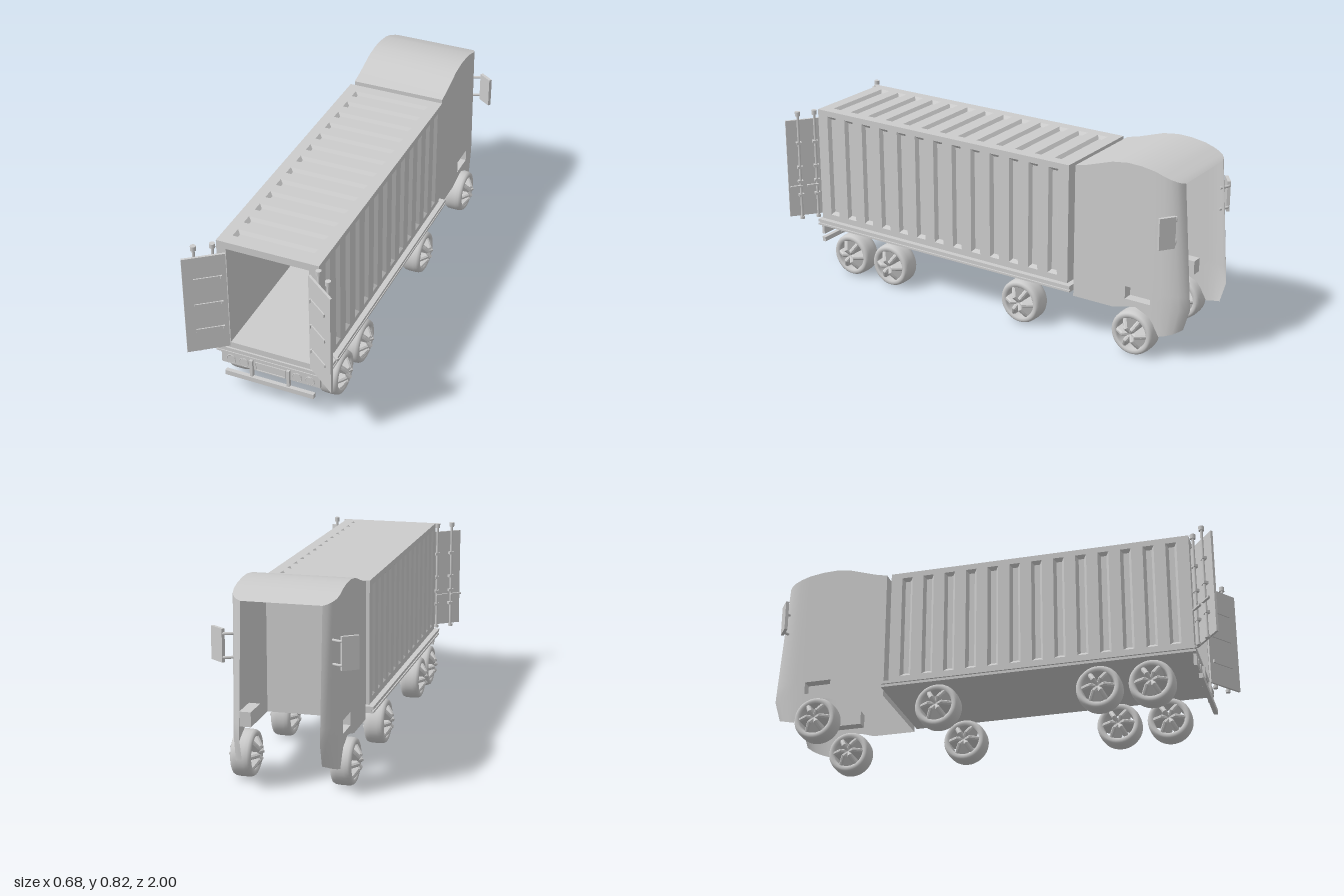
import * as THREE from 'three';

const grey = new THREE.MeshStandardMaterial({ color: 0xcccccc });
const flat = new THREE.MeshStandardMaterial({ color: 0xcccccc, flatShading: true });
const thin = new THREE.MeshStandardMaterial({ color: 0xcccccc, side: THREE.DoubleSide });

function add(parent, name, geo, mat = grey, x = 0, y = 0, z = 0) {
  const m = new THREE.Mesh(geo, mat);
  m.name = name;
  m.position.set(x, y, z);
  parent.add(m);
  return m;
}

// Box given by its limits on each axis
function block(parent, name, x0, x1, y0, y1, z0, z1) {
  return add(parent, name, new THREE.BoxGeometry(x1 - x0, y1 - y0, z1 - z0), grey,
    (x0 + x1) / 2, (y0 + y1) / 2, (z0 + z1) / 2);
}

function meshFrom(pos, idx) {
  const g = new THREE.BufferGeometry();
  g.setAttribute('position', new THREE.Float32BufferAttribute(pos, 3));
  if (idx) g.setIndex(idx);
  g.computeVertexNormals();
  return g;
}

// Panel in the xy plane facing +z, with a row of tapered grooves along x
function groovedPanel(length, height, grooveHeight, count = 13, pitch = 0.0984) {
  const pos = [];
  const quad = (a, b, c, d) => pos.push(...a, ...b, ...c, ...a, ...c, ...d);
  const ring = (x0, x1, h, z) => [[x0, -h, z], [x1, -h, z], [x1, h, z], [x0, h, z]];
  for (let i = 0; i < count; i++) {
    const c = (i - (count - 1) / 2) * pitch;
    const x0 = i === 0 ? -length / 2 : c - pitch / 2;
    const x1 = i === count - 1 ? length / 2 : c + pitch / 2;
    const rings = [
      ring(x0, x1, height / 2, 0),
      ring(c - 0.024, c + 0.024, grooveHeight / 2, 0),
      ring(c - 0.012, c + 0.012, grooveHeight / 2 - 0.014, -0.014),
    ];
    for (let r = 0; r < 2; r++)
      for (let k = 0; k < 4; k++) {
        const n = (k + 1) % 4;
        quad(rings[r][k], rings[r][n], rings[r + 1][n], rings[r + 1][k]);
      }
    quad(...rings[2]);
  }
  return meshFrom(pos);
}

function makeContainer() {
  const g = new THREE.Group();
  g.name = 'container';
  const mid = 0.215, len = 1.33;
  const side = groovedPanel(len, 0.527, 0.475);
  add(g, 'leftWall', side.clone().rotateY(Math.PI / 2), thin, 0.222, 0.4985, mid);
  add(g, 'rightWall', side.clone().rotateY(-Math.PI / 2), thin, -0.222, 0.4985, mid);
  const roof = groovedPanel(len, 0.444, 0.35).rotateY(Math.PI / 2).rotateZ(Math.PI / 2);
  add(g, 'roof', roof, thin, 0, 0.762, mid);
  block(g, 'endWall', -0.222, 0.222, 0.235, 0.762, -0.45, -0.43);
  // inner lining and door frame
  for (const s of [-1, 1]) {
    add(g, 'lining', new THREE.PlaneGeometry(1.31, 0.468).rotateY(-s * Math.PI / 2), thin, s * 0.18, 0.496, 0.225);
    block(g, 'doorPost', s * 0.201 - 0.021, s * 0.201 + 0.021, 0.235, 0.762, 0.86, 0.882);
  }
  add(g, 'ceiling', new THREE.PlaneGeometry(0.36, 1.31).rotateX(Math.PI / 2), thin, 0, 0.73, 0.225);
  block(g, 'loadFloor', -0.2, 0.2, 0.235, 0.262, -0.43, 0.882);
  block(g, 'doorHeader', -0.18, 0.18, 0.73, 0.762, 0.86, 0.882);
  return g;
}

// Open door: local x runs out from the hinge, local -z is the outer face
function makeDoor() {
  const g = new THREE.Group();
  g.name = 'door';
  g.position.set(0.18, 0, 0.889);
  g.rotation.y = -Math.atan2(0.107, 0.14);
  block(g, 'doorPanel', 0, 0.176, 0.25, 0.713, -0.008, 0.002);
  for (const y of [0.355, 0.48, 0.606]) {
    block(g, 'innerBar', 0.022, 0.134, y - 0.007, y + 0.007, 0, 0.007);
    block(g, 'hingeStop', 0.018, 0.026, y - 0.008, y + 0.008, 0, 0.011);
  }
  for (const x of [0.046, 0.122]) {
    add(g, 'lockRod', new THREE.CylinderGeometry(0.006, 0.006, 0.51, 12), grey, x, 0.495, -0.02);
    add(g, 'rodCap', new THREE.CylinderGeometry(0.012, 0.012, 0.02, 12), grey, x, 0.747, -0.02);
    add(g, 'rodFoot', new THREE.CylinderGeometry(0.011, 0.011, 0.012, 12), grey, x, 0.245, -0.02);
    for (const y of [0.355, 0.42, 0.49, 0.606])
      block(g, 'rodBracket', x - 0.012, x + 0.012, y - 0.006, y + 0.006, -0.028, -0.006);
    block(g, 'lockHandle', x - 0.006, x + 0.05, 0.398, 0.406, -0.036, -0.026);
  }
  return g;
}

function makeCab() {
  const g = new THREE.Group();
  g.name = 'cab';
  // columns from rear to front: half width, top z, top y, z at step height, bottom z, bottom y
  const cols = [
    [0.213, -0.475, 0.765, -0.475, -0.475, 0.18],
    [0.213, -0.53, 0.778, -0.53, -0.53, 0.18],
    [0.213, -0.59, 0.797, -0.59, -0.6, 0.18],
    [0.213, -0.65, 0.816, -0.65, -0.67, 0.18],
    [0.213, -0.72, 0.825, -0.72, -0.72, 0.195],
    [0.213, -0.78, 0.823, -0.78, -0.775, 0.205],
    [0.213, -0.845, 0.813, -0.845, -0.84, 0.175],
    [0.213, -0.885, 0.8, -0.89, -0.885, 0.1],
    [0.208, -0.913, 0.79, -0.93, -0.912, 0.108],
    [0.197, -0.935, 0.782, -0.965, -0.94, 0.118],
    [0.182, -0.949, 0.775, -0.987, -0.96, 0.128],
    [0.163, -0.957, 0.77, -0.999, -0.972, 0.135],
  ];
  const pos = [], idx = [];
  cols.forEach(([x, zt, yt, zm, zb, yb], i) => {
    pos.push(x, yt, zt, x, 0.29, zm + (zt - zm) * 0.1, x, 0.228, zm, x, yb, zb);
    if (!i) return;
    for (let r = 0; r < 3; r++) {
      // leave the step opening free
      if (r === 1 && (i === 5 || i === 6)) continue;
      const a = (i - 1) * 4 + r, b = i * 4 + r;
      idx.push(a, a + 1, b + 1, a, b + 1, b);
    }
  });
  const wall = meshFrom(pos, idx);

  const roofPos = [], roofIdx = [];
  cols.forEach(([x, z, y], i) => {
    roofPos.push(x, y, z, -x, y, z);
    const a = 2 * i - 2;
    if (i) roofIdx.push(a, a + 2, a + 3, a, a + 3, a + 1);
  });
  add(g, 'cabRoof', meshFrom(roofPos, roofIdx), thin);
  add(g, 'cabRearWall', new THREE.PlaneGeometry(0.426, 0.585).rotateY(Math.PI), thin, 0, 0.4725, -0.475);

  for (const s of [1, -1]) {
    const side = new THREE.Group();
    side.name = s > 0 ? 'leftCabSide' : 'rightCabSide';
    side.scale.x = s;
    add(side, 'cabWall', wall, thin);
    // step pocket
    block(side, 'stepBack', 0.165, 0.168, 0.228, 0.29, -0.845, -0.72);
    for (const y of [0.228, 0.287]) block(side, 'stepTread', 0.165, 0.213, y, y + 0.003, -0.845, -0.72);
    for (const z of [-0.845, -0.723]) block(side, 'stepEnd', 0.165, 0.213, 0.228, 0.29, z, z + 0.003);
    // mirror with two arms
    const plate = block(side, 'mirror', 0.229, 0.301, 0.52, 0.655, -0.94, -0.926);
    plate.rotation.y = -0.62;
    for (const y of [0.54, 0.635]) {
      const path = new THREE.CatmullRomCurve3([[0.19, -0.935], [0.215, -0.947], [0.236, -0.954], [0.25, -0.944]]
        .map(([x, z]) => new THREE.Vector3(x, y, z)));
      add(side, 'mirrorArm', new THREE.TubeGeometry(path, 10, 0.006, 8), grey);
    }
    g.add(side);
  }
  return g;
}

// Wheel with its axle on x, centred on the origin
function makeWheel() {
  const g = new THREE.Group();
  g.name = 'wheel';
  const profile = [[0.068, -0.036], [0.074, -0.042], [0.084, -0.043], [0.091, -0.039], [0.0955, -0.03], [0.097, -0.015],
    [0.097, 0.015], [0.0955, 0.03], [0.091, 0.039], [0.084, 0.043], [0.074, 0.042], [0.068, 0.036], [0.068, -0.036]]
    .map(([r, x]) => new THREE.Vector2(r, x));
  add(g, 'tyre', new THREE.LatheGeometry(profile, 40).rotateZ(-Math.PI / 2), thin);
  add(g, 'hub', new THREE.CylinderGeometry(0.015, 0.015, 0.09, 20).rotateZ(Math.PI / 2), grey);
  // spokes bulge past the tyre on both faces
  const shape = new THREE.Shape([[-0.042, 0.008], [0.042, 0.008], [0.058, 0.03], [0.046, 0.05], [0.032, 0.07],
    [-0.032, 0.07], [-0.046, 0.05], [-0.058, 0.03]].map(([x, y]) => new THREE.Vector2(x, y)));
  const spoke = new THREE.ExtrudeGeometry(shape, { depth: 0.008, bevelThickness: 0.006, bevelSize: 0.006, bevelSegments: 1 })
    .translate(0, 0, -0.004);
  for (let i = 0; i < 6; i++) add(g, 'spoke', spoke, flat).rotation.x = (i * Math.PI) / 3 + Math.PI / 6;
  return g;
}

function makeChassis() {
  const g = new THREE.Group();
  g.name = 'chassis';
  block(g, 'deck', -0.246, 0.246, 0.222, 0.235, -0.475, 0.89);
  block(g, 'deckCore', -0.238, 0.238, 0.214, 0.223, -0.475, 0.886);
  block(g, 'lowerDeck', -0.246, 0.246, 0.207, 0.215, -0.475, 0.89);
  block(g, 'lightPanel', -0.222, 0.222, 0.155, 0.208, 0.875, 0.889);
  block(g, 'underrunBar', -0.2, 0.2, 0.105, 0.127, 0.89, 0.908);
  for (const s of [-1, 1]) {
    block(g, 'barSupport', s * 0.083 - 0.0065, s * 0.083 + 0.0065, 0.115, 0.207, 0.885, 0.902);
    for (const x of [0.12, 0.178]) {
      add(g, 'lightRing', new THREE.TorusGeometry(0.02, 0.002, 8, 28), grey, s * x, 0.18, 0.89);
      add(g, 'light', new THREE.CylinderGeometry(0.018, 0.018, 0.006, 28).rotateX(Math.PI / 2), grey, s * x, 0.18, 0.889);
    }
    block(g, 'plateEdge', s * 0.067 - 0.002, s * 0.067 + 0.002, 0.158, 0.198, 0.888, 0.893);
  }
  for (const y of [0.157, 0.195]) block(g, 'plateEdge', -0.067, 0.067, y, y + 0.004, 0.888, 0.893);
  return g;
}

export function createModel() {
  const model = new THREE.Group();
  model.name = 'containerTruck';
  model.add(makeContainer(), makeCab(), makeChassis());
  for (const s of [1, -1]) {
    const half = new THREE.Group();
    half.name = s > 0 ? 'leftParts' : 'rightParts';
    half.scale.x = s;
    half.add(makeDoor());
    for (const z of [0.7, 0.477, -0.225, -0.775]) {
      const wheel = makeWheel();
      wheel.position.set(0.207, 0.098, z);
      half.add(wheel);
    }
    model.add(half);
  }
  return model;
}
